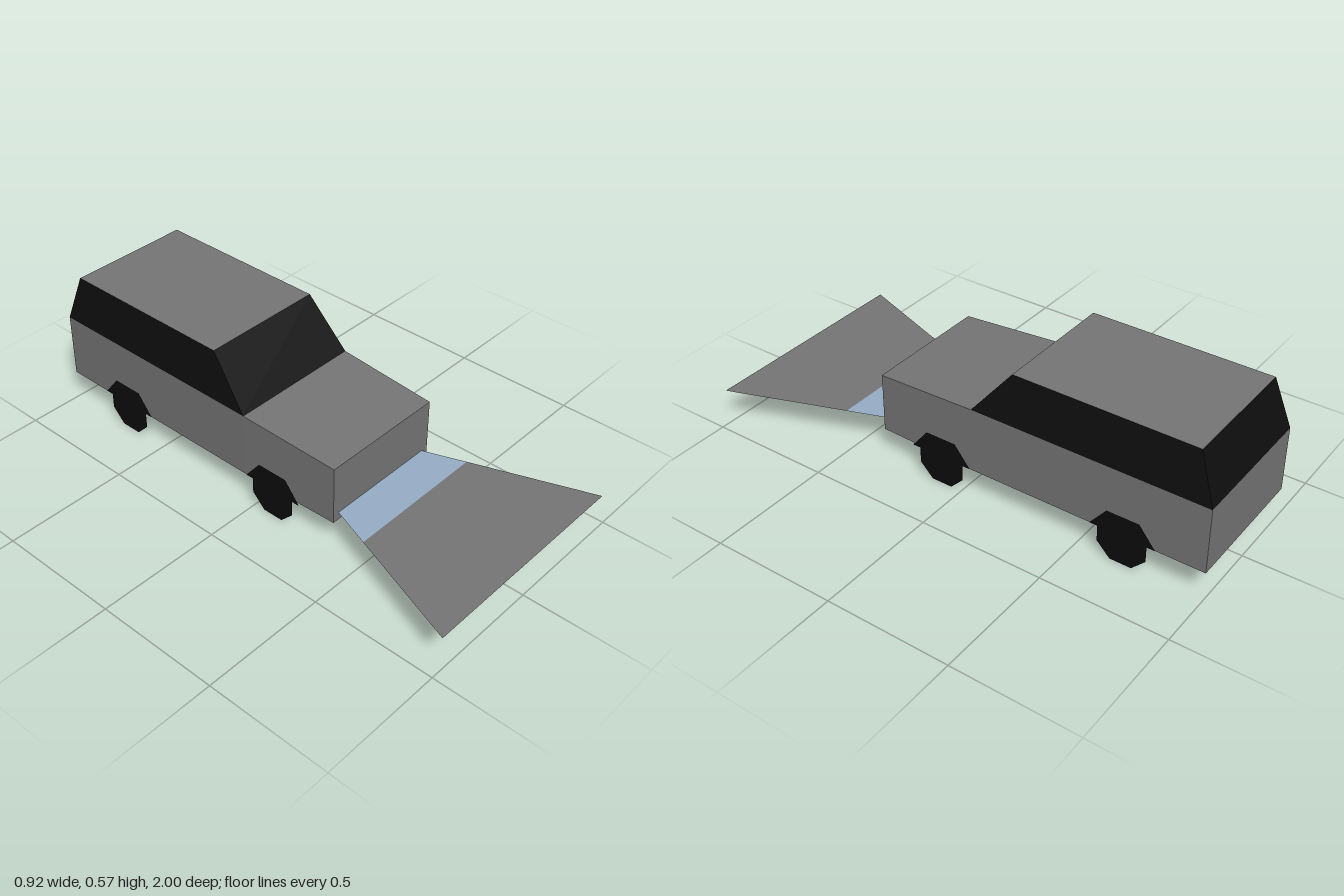
import * as THREE from 'three';

const flat = (name, color, side = THREE.FrontSide) => {
  const m = new THREE.MeshStandardMaterial({ color, side });
  m.name = name;
  return m;
};

// Flat-faced geometry from quads, each with corners anticlockwise from outside
function quads(list) {
  const pos = [];
  for (const [a, b, c, d] of list) pos.push(...a, ...b, ...c, ...a, ...c, ...d);
  const g = new THREE.BufferGeometry();
  g.setAttribute('position', new THREE.Float32BufferAttribute(pos, 3));
  g.computeVertexNormals();
  return g;
}

// Quads joining successive four-cornered loops
function loft(loops) {
  const out = [];
  for (let i = 0; i < loops.length - 1; i++) {
    for (let k = 0; k < 4; k++) {
      const n = (k + 1) % 4;
      out.push([loops[i][k], loops[i][n], loops[i + 1][n], loops[i + 1][k]]);
    }
  }
  return out;
}

export function createModel() {
  const grey = flat('bodyGrey', 0x757575);
  const black = flat('glassBlack', 0x0e0e0e);
  const wheelBlack = flat('wheelBlack', 0x0c0c0c, THREE.DoubleSide);
  const beamGrey = flat('beamGrey', 0x757575, THREE.DoubleSide);
  const beamBlue = flat('beamBlue', 0x96adc5, THREE.DoubleSide);

  const model = new THREE.Group();
  model.name = 'car';
  const car = new THREE.Group();
  car.name = 'vehicle';
  car.position.x = 0.002;
  model.add(car);
  const add = (parent, name, geometry, material) => {
    const mesh = new THREE.Mesh(geometry, material);
    mesh.name = name;
    parent.add(mesh);
    return mesh;
  };

  // Lower body: sections from rear to front, narrowing at the bonnet
  const section = ([z, w, top]) =>
    [[-w, 0.118, z], [w, 0.118, z], [w, top, z], [-w, top, z]];
  const body = [[-1, 0.275, 0.38], [-0.05, 0.275, 0.38], [0.367, 0.261, 0.357]].map(section);
  add(car, 'lowerBody', quads([...loft(body), body[2], [...body[0]].reverse()]), grey);

  // Cabin glass tapering up to the roof
  const ring = (w, y, front, back) =>
    [[-w, y, front], [w, y, front], [w, y, back], [-w, y, back]];
  const sill = ring(0.275, 0.38, -0.05, -1);
  const eaves = ring(0.252, 0.575, -0.21, -0.934);
  add(car, 'cabinWindows', quads(loft([sill, eaves])), black);
  add(car, 'roof', quads([eaves]), grey);

  // Flat wheel and arch silhouettes on both sides
  const half = [[0.043, 0], [0.097, 0.055], [0.097, 0.118], [0.13, 0.118], [0.064, 0.2]];
  const outline = [...half, ...half.map(([x, y]) => [-x, y]).reverse()];
  const wheelGeometry = new THREE.ShapeGeometry(
    new THREE.Shape(outline.map(([x, y]) => new THREE.Vector2(x, y))));
  for (const [end, z] of [['front', 0.088], ['rear', -0.681]]) {
    for (const [label, s] of [['Left', 1], ['Right', -1]]) {
      const wheel = add(car, `${end}${label}Wheel`, wheelGeometry, wheelBlack);
      wheel.rotation.y = s * Math.PI / 2;
      wheel.position.set(s * 0.2765, 0, z);
    }
  }

  // Flat sheet fanning out ahead of the bumper
  const strip = (z0, w0, z1, w1) => quads([
    [[-w0, 0.15, z0], [-w1, 0.15, z1], [w1, 0.15, z1], [w0, 0.15, z0]]]);
  add(model, 'innerFan', strip(0.367, 0.233, 0.53, 0.292), beamBlue);
  add(model, 'outerFan', strip(0.53, 0.292, 1, 0.461), beamGrey);

  return model;
}
